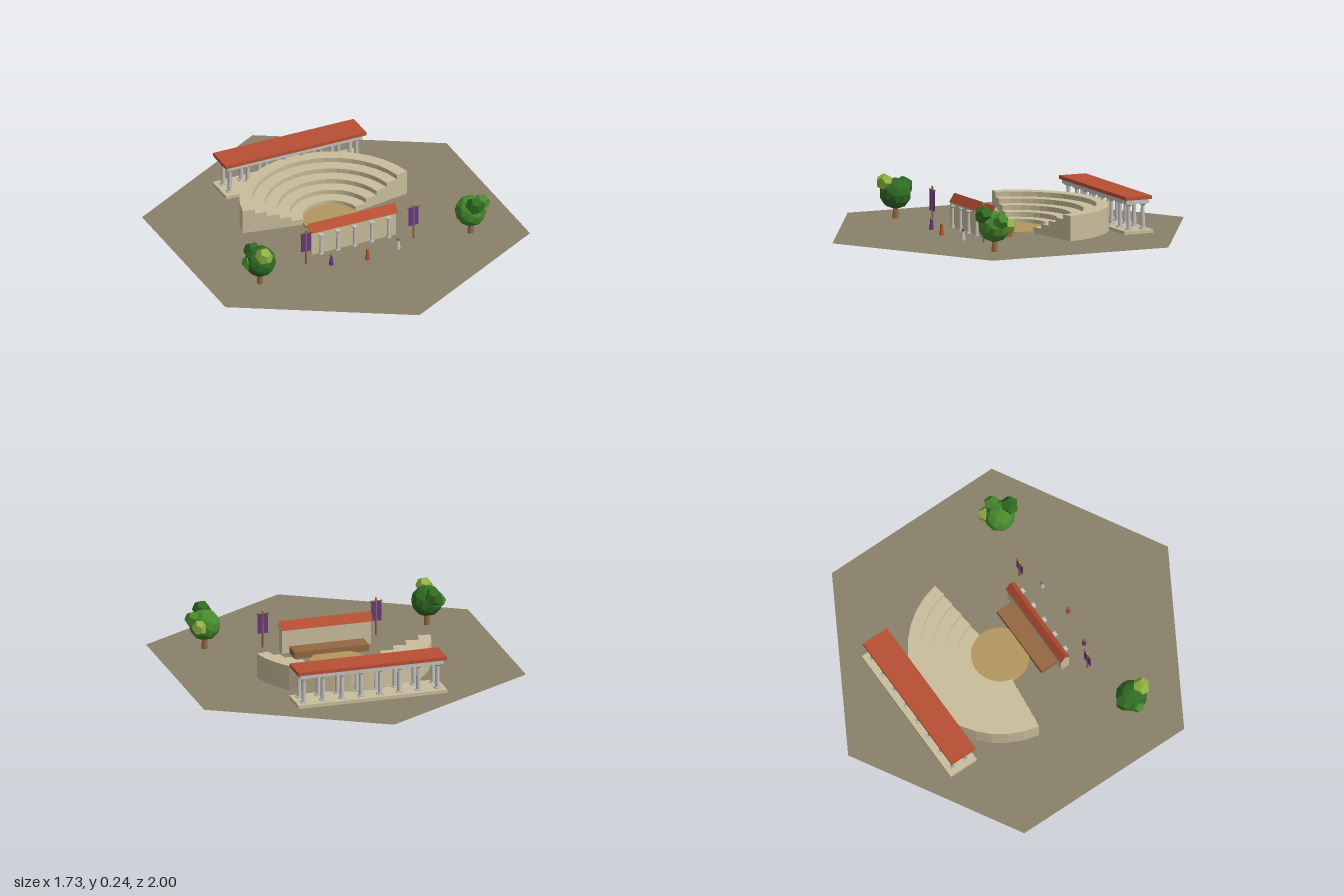
import * as THREE from 'three';

const mat = (name, color) => {
  const m = new THREE.MeshStandardMaterial({ color });
  m.name = name;
  return m;
};

export function createModel() {
  const ground = mat('earth', 0x8a8169);
  ground.side = THREE.DoubleSide;
  const limestone = mat('limestone', 0xc9bd9b);
  const marble = mat('marble', 0xc4c2be);
  const terracotta = mat('terracotta', 0xb85034);
  const wood = mat('wood', 0x946840);
  const sand = mat('sand', 0xb2985f);
  const purple = mat('purple cloth', 0x66368c);
  const darkGreen = mat('dark leaf', 0x2f6b22);
  const green = mat('leaf', 0x468a2c);
  const lightGreen = mat('light leaf', 0x8fb242);
  for (const m of [darkGreen, green, lightGreen]) m.flatShading = true;

  const root = new THREE.Group();
  root.name = 'theatre';
  const group = (name, parent = root) => {
    const g = new THREE.Group();
    g.name = name;
    parent.add(g);
    return g;
  };
  const add = (parent, name, geo, material, x = 0, y = 0, z = 0) => {
    const m = new THREE.Mesh(geo, material);
    m.name = name;
    m.position.set(x, y, z);
    parent.add(m);
    return m;
  };
  // Box given by its bottom height y
  const box = (parent, name, material, w, h, d, x, y, z) =>
    add(parent, name, new THREE.BoxGeometry(w, h, d), material, x, y + h / 2, z);

  // Hexagonal ground
  const hex = new THREE.CircleGeometry(1, 6, Math.PI / 2);
  hex.rotateX(-Math.PI / 2);
  add(root, 'ground', hex, ground);

  // Column: plinth, tapered shaft, flared capital and slab
  const column = (parent, r, h, x, y, z) => {
    const c = group('column', parent);
    c.position.set(x, y, z);
    const slab = h * 0.05;
    box(c, 'plinth', marble, r * 2.7, slab, r * 2.7, 0, 0, 0);
    add(c, 'shaft', new THREE.CylinderGeometry(r * 0.82, r, h * 0.84, 10), marble, 0, slab + h * 0.42, 0);
    add(c, 'capital', new THREE.CylinderGeometry(r * 1.35, r * 0.82, h * 0.06, 10), marble, 0, h * 0.92, 0);
    box(c, 'abacus', marble, r * 2.8, slab, r * 2.8, 0, h - slab, 0);
  };

  // Seating: five concentric tiers spanning 160 degrees
  const seating = group('seating');
  const centreZ = -0.05;
  const a0 = Math.PI / 18, a1 = Math.PI - a0;
  for (let i = 0; i < 5; i++) {
    const r = 0.15 + 0.065 * i;
    const s = new THREE.Shape();
    s.absarc(0, 0, r + 0.065, a0, a1, false);
    s.absarc(0, 0, r, a1, a0, true);
    s.closePath();
    const geo = new THREE.ExtrudeGeometry(s, { depth: 0.032 + 0.025 * i, bevelEnabled: false, curveSegments: 8 });
    geo.rotateX(-Math.PI / 2);
    add(seating, 'seatTier', geo, limestone, 0, 0, centreZ);
  }

  // Orchestra floor and wooden stage
  add(root, 'orchestra', new THREE.CylinderGeometry(0.153, 0.153, 0.012, 32), sand, 0, 0.006, centreZ);
  box(root, 'stage', wood, 0.4, 0.036, 0.095, 0, 0, 0.118);

  // Stage building with gabled roof and a front colonnade
  const scene = group('stageBuilding');
  box(scene, 'wall', limestone, 0.48, 0.128, 0.05, 0, 0, 0.19);
  const gable = new THREE.Shape([[-0.03, 0], [0.03, 0], [0, 0.046]].map(p => new THREE.Vector2(...p)));
  const roof = new THREE.ExtrudeGeometry(gable, { depth: 0.496, bevelEnabled: false });
  roof.translate(0, 0, -0.248);
  roof.rotateY(Math.PI / 2);
  add(scene, 'gabledRoof', roof, [limestone, terracotta], 0, 0.126, 0.187);
  for (let i = -2; i <= 2; i++) column(scene, 0.009, 0.118, i * 0.096, 0, 0.224);

  // Colonnaded hall behind the seats
  const hall = group('colonnade');
  const hallZ = -0.555;
  box(hall, 'hallBase', limestone, 0.8, 0.018, 0.164, 0, 0, hallZ);
  for (const dz of [-0.04, 0.04])
    for (let i = 0; i < 8; i++) column(hall, 0.012, 0.138, -0.36 + i * 0.72 / 7, 0.018, hallZ + dz);
  box(hall, 'entablature', marble, 0.77, 0.022, 0.128, 0, 0.155, hallZ);
  box(hall, 'hallRoof', terracotta, 0.8, 0.018, 0.15, 0, 0.177, hallZ);

  // Banners on poles
  for (const side of [-1, 1]) {
    const b = group('banner');
    b.position.set(side * 0.305, 0, 0.285);
    add(b, 'pole', new THREE.CylinderGeometry(0.005, 0.006, 0.2, 8), wood, 0, 0.1, 0);
    add(b, 'finial', new THREE.SphereGeometry(0.007, 8, 6), sand, 0, 0.201, 0);
    const bar = add(b, 'crossbar', new THREE.CylinderGeometry(0.004, 0.004, 0.068, 6), wood, 0, 0.185, 0);
    bar.rotation.z = Math.PI / 2;
    box(b, 'cloth', purple, 0.056, 0.108, 0.004, 0, 0.077, 0);
  }

  // Robed figures in front
  [[-0.19, 0.345, purple], [0, 0.378, terracotta], [0.19, 0.345, marble]].forEach(([x, z, robe]) => {
    const f = group('figure');
    f.position.set(x, 0, z);
    add(f, 'robe', new THREE.CylinderGeometry(0.007, 0.013, 0.046, 8), robe, 0, 0.023, 0);
    add(f, 'head', new THREE.SphereGeometry(0.009, 8, 6), wood, 0, 0.053, 0);
  });

  // Trees: trunk, large crown, smaller leaf clumps [x, y, z, radius, material]
  const tree = (x, z, crown, clumps) => {
    const t = group('tree');
    t.position.set(x, 0, z);
    add(t, 'trunk', new THREE.CylinderGeometry(0.012, 0.017, 0.08, 7), wood, 0, 0.04, 0);
    add(t, 'crown', new THREE.IcosahedronGeometry(0.083, 1), crown, 0, 0.13, 0);
    for (const [cx, cy, cz, r, m] of clumps)
      add(t, 'leafClump', new THREE.DodecahedronGeometry(r, 0), m, cx, cy, cz);
  };
  tree(-0.6, 0.355, darkGreen, [
    [-0.005, 0.19, 0.058, 0.047, lightGreen],
    [-0.06, 0.13, -0.005, 0.04, green],
    [-0.015, 0.165, -0.055, 0.05, darkGreen],
  ]);
  tree(0.595, 0.36, green, [
    [-0.003, 0.19, 0.06, 0.05, darkGreen],
    [0.064, 0.165, -0.004, 0.044, green],
    [0.045, 0.135, -0.055, 0.042, lightGreen],
  ]);
  return root;
}
